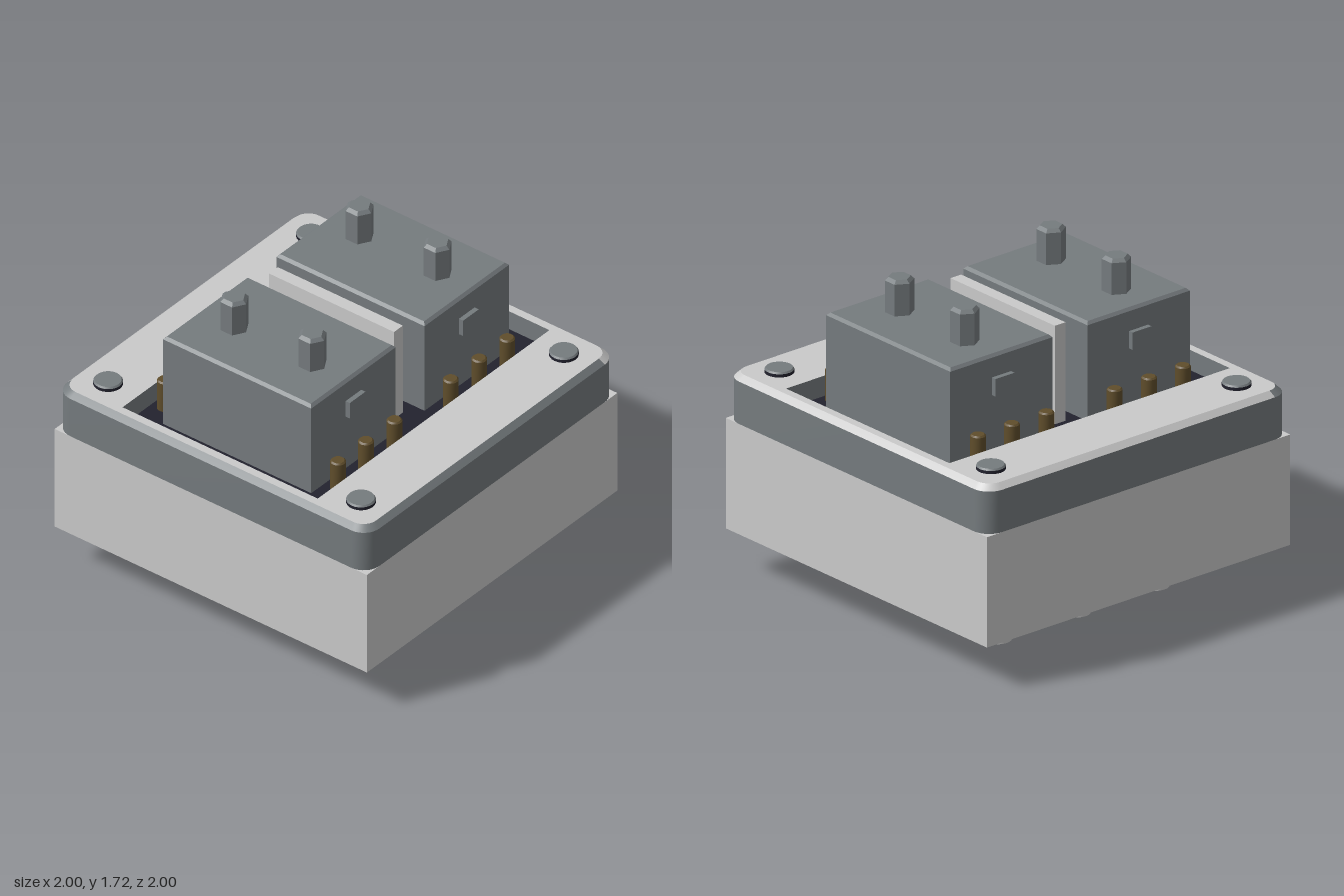
import * as THREE from 'three';
import { toCreasedNormals } from 'three/addons/utils/BufferGeometryUtils.js';

const flat = (name, color) => {
  const m = new THREE.MeshStandardMaterial({ color });
  m.name = name;
  return m;
};

export function createModel() {
  const light = flat('light grey', 0xcacaca);
  const slate = flat('slate grey', 0x757b7e);
  const navy = flat('dark navy', 0x22222e);
  const bronze = flat('bronze', 0x5f4d2b);

  const model = new THREE.Group();
  model.name = 'relayModule';

  const add = (name, geometry, material, x = 0, y = 0, z = 0) => {
    const mesh = new THREE.Mesh(geometry, material);
    mesh.name = name;
    mesh.position.set(x, y, z);
    model.add(mesh);
    return mesh;
  };

  // Rectangle outline with rounded corners, as [x, z] points
  const outline = (hx, hz, r, n) => {
    const pts = [];
    for (let k = 0; k < 4; k++) {
      const sx = k === 0 || k === 3 ? 1 : -1, sz = k < 2 ? 1 : -1;
      for (let i = 0; i <= n; i++) {
        const a = (k + i / (n || 1)) * Math.PI / 2;
        pts.push([sx * (hx - r) + r * Math.cos(a), sz * (hz - r) + r * Math.sin(a)]);
      }
    }
    return pts;
  };

  // Strip of faces between two outlines, from segment s to segment e
  const band = (low, yLow, high, yHigh, s = 0, e = low.length) => {
    const pos = [];
    for (let i = s; i < e; i++) {
      const a = i % low.length, b = (i + 1) % low.length;
      const p = [low[a][0], yLow, low[a][1]], p1 = [low[b][0], yLow, low[b][1]];
      const q = [high[a][0], yHigh, high[a][1]], q1 = [high[b][0], yHigh, high[b][1]];
      pos.push(...p, ...q, ...p1, ...q, ...q1, ...p1);
    }
    const g = new THREE.BufferGeometry();
    g.setAttribute('position', new THREE.Float32BufferAttribute(pos, 3));
    return toCreasedNormals(g, 0.5);
  };

  // Base and its nine round legs
  add('base', new THREE.BoxGeometry(2, 0.6, 2), light, 0, 0.54, 0);
  for (const x of [-0.52, 0, 0.52])
    for (const z of [-0.52, 0, 0.52])
      add('leg', new THREE.CylinderGeometry(0.075, 0.075, 0.24, 24), light, x, 0.12, z);

  // Collar: wall, two-tone chamfer, top plate and recess
  const outer = outline(1, 1, 0.1, 8);
  const inner = outline(0.97, 0.97, 0.08, 8);
  const hole = outline(0.625, 0.925, 0, 0);
  const floorY = 0.99;
  add('collarWall', band(outer, 0.84, outer, 1.07), slate);
  add('collarChamferFront', band(outer, 1.07, inner, 1.1, 35, 53), slate);
  add('collarChamferBack', band(outer, 1.07, inner, 1.1, 17, 35), light);
  add('recessWall', band(hole, 1.1, hole, floorY), slate);

  const toVectors = pts => pts.map(p => new THREE.Vector2(p[0], p[1]));
  const plate = new THREE.Shape(toVectors(inner));
  plate.holes.push(new THREE.Path(toVectors(hole)));
  add('topPlate', new THREE.ShapeGeometry(plate).rotateX(-Math.PI / 2), light, 0, 1.1, 0);
  add('recessFloor', new THREE.PlaneGeometry(1.25, 1.85).rotateX(-Math.PI / 2), navy, 0, floorY, 0);

  // Corner bolts
  for (const x of [-0.81, 0.81])
    for (const z of [-0.81, 0.81]) {
      add('boltBody', new THREE.CylinderGeometry(0.075, 0.075, 0.017, 24), navy, x, 1.1085, z);
      add('boltCap', new THREE.CylinderGeometry(0.068, 0.075, 0.009, 24), slate, x, 1.1215, z);
    }

  // Divider between the two blocks
  add('divider', new THREE.BoxGeometry(0.8, 1.525 - floorY, 0.07), light, 0, (1.525 + floorY) / 2, 0);

  // Hexagonal or round post with a chamfered top
  const post = (name, r, yLow, yHigh, bevel, sides, material, x, z) => {
    const h = yHigh - bevel - yLow;
    const parts = [
      [new THREE.CylinderGeometry(r, r, h, sides, 1, true), yLow + h / 2],
      [new THREE.CylinderGeometry(r - bevel, r, bevel, sides), yHigh - bevel / 2],
    ];
    for (const [g, y] of parts)
      add(name, toCreasedNormals(g.rotateY(Math.PI / 6), 0.6), material, x, y, z);
  };

  // Two blocks with side tabs, hexagonal posts and contact pins
  const blockX = 0.475, blockZ = 0.3375, bevel = 0.015;
  const full = outline(blockX, blockZ, 0, 0);
  const small = outline(blockX - bevel, blockZ - bevel, 0, 0);
  for (const s of [-1, 1]) {
    const zc = s * 0.4525;
    add('blockSides', band(full, floorY, full, 1.51), slate, 0, 0, zc);
    add('blockBevel', band(full, 1.51, small, 1.525), slate, 0, 0, zc);
    add('blockTop', new THREE.PlaneGeometry(2 * (blockX - bevel), 2 * (blockZ - bevel)).rotateX(-Math.PI / 2),
      slate, 0, 1.525, zc);
    for (const m of [-1, 1]) {
      add('sideTab', new THREE.BoxGeometry(0.05, 0.095, 0.125), slate, m * 0.477, 1.355, zc);
      post('hexPost', 0.075, 1.525, 1.715, 0.018, 6, slate, m * 0.25, s * 0.5);
      for (const z of [0.225, 0.4525, 0.675])
        post('contactPin', 0.04, floorY, 1.167, 0.008, 16, bronze, m * 0.555, s * z);
    }
  }
  return model;
}
